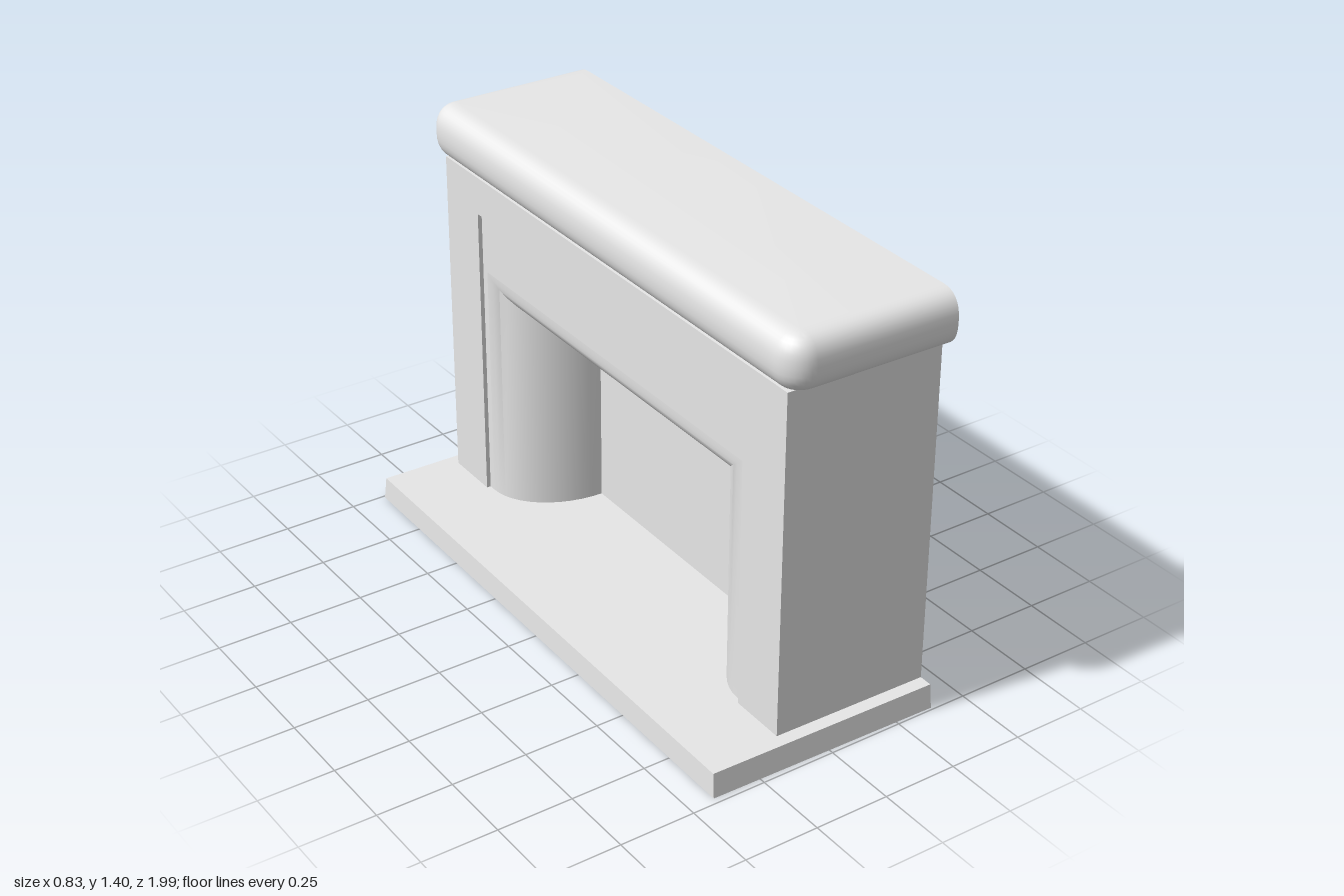
import * as THREE from 'three';
import { toCreasedNormals } from 'three/addons/utils/BufferGeometryUtils.js';

// Skin a sheet over rows of [x, y, z] points, all rows the same length
function loft(rows, crease = 0.6) {
  const n = rows[0].length, index = [];
  for (let i = 0; i < rows.length - 1; i++)
    for (let k = 0; k < n - 1; k++) {
      const a = i * n + k, b = a + n;
      index.push(a, b, a + 1, a + 1, b, b + 1);
    }
  const g = new THREE.BufferGeometry();
  g.setAttribute('position', new THREE.Float32BufferAttribute(rows.flat(2), 3));
  g.setIndex(index);
  return toCreasedNormals(g, crease);
}

const BACK = 0.398; // open rear plane
const FOOT = 0.055; // walls reach a little below the hearth top

// Door-shaped outline: up one leg, across the head, down the other leg
const doorway = ([w, h, x]) => [[x, FOOT, w], [x, h, w], [x, h, -w], [x, FOOT, -w]];

// U-shaped mantel outline with rounded front corners, drawn in by inset
function mantelOutline(inset, y) {
  const half = 0.992, front = -0.17, r = 0.085, rr = r - inset;
  const pts = [[BACK, y, half - inset]];
  for (let i = 0; i <= 8; i++) {
    const a = (i / 8) * Math.PI / 2;
    pts.push([front + r - rr * Math.sin(a), y, half - r + rr * Math.cos(a)]);
  }
  return [...pts, ...pts.map(([x, py, z]) => [x, py, -z]).reverse()];
}

export function createModel() {
  const stone = new THREE.MeshStandardMaterial({ color: 0xf0f0f0, side: THREE.DoubleSide });
  stone.name = 'pale grey stone';
  const red = new THREE.MeshStandardMaterial({ color: 0xe04a35 });
  red.name = 'red';

  const model = new THREE.Group();
  model.name = 'fireplace';
  const body = new THREE.Group();
  body.name = 'fireplaceBody';
  body.rotation.y = -0.0165; // the whole piece stands slightly askew
  model.add(body);
  const add = (name, geometry, material = stone) => {
    const mesh = new THREE.Mesh(geometry, material);
    mesh.name = name;
    body.add(mesh);
    return mesh;
  };

  // Hearth: open-bottomed slab with slightly sloping sides
  const slab = (half, front, y) => [[BACK, y, half], [front, y, half], [front, y, -half], [BACK, y, -half]];
  const middle = [0, 1, 2, 3].map(() => [BACK, 0.08, 0]);
  add('hearth', loft([slab(0.985, -0.398, 0), slab(0.975, -0.394, 0.08), middle]));

  // Surround: back flange, side walls, front face and recessed inner frame
  add('surround', loft([
    [0.83, 1.17, BACK], [0.93, 1.228, BACK], [0.93, 1.228, -0.138],
    [0.735, 1.1, -0.138], [0.735, 1.1, -0.124], [0.71, 0.9, -0.124],
  ].map(doorway), 0.2));

  // Firebox: walls and hood flare from the opening to the back panel
  const flare = [];
  for (let i = 0; i <= 12; i++) {
    const a = (i / 12) * Math.PI / 2;
    const out = 1 - Math.sin(a);
    flare.push(doorway([0.49 + 0.22 * out, 0.73 + 0.17 * out, 0.165 - 0.289 * Math.cos(a)]));
  }
  add('fireboxWalls', loft(flare));
  add('fireboxBack', loft([
    [[0.165, FOOT, 0.49], [0.165, 0.73, 0.49]],
    [[0.165, FOOT, -0.49], [0.165, 0.73, -0.49]],
  ]));

  // Thin red ledge behind the lintel, facing up and to the rear
  const ledge = new THREE.PlaneGeometry(1.47, 0.032);
  ledge.rotateX(-THREE.MathUtils.degToRad(65));
  ledge.rotateY(Math.PI / 2);
  add('lintelLedge', ledge, red).position.set(-0.1, 1.1, 0);

  // Mantel: hollow shelf with a soft squarish edge, open at the back
  const rise = 0.0885, depth = 0.078, cy = 1.3165, rows = [];
  const centre = (y) => mantelOutline(0, y).map(() => [BACK, y, 0]);
  rows.push(centre(cy + rise));
  for (let i = 0; i <= 16; i++) {
    const a = Math.PI / 2 - (i / 16) * Math.PI, s = Math.sin(a);
    const inset = depth * (1 - Math.pow(Math.abs(Math.cos(a)), 0.8));
    rows.push(mantelOutline(inset, cy + rise * Math.sign(s) * Math.pow(Math.abs(s), 0.8)));
  }
  rows.push(centre(cy - rise));
  add('mantelShelf', loft(rows));

  return model;
}
